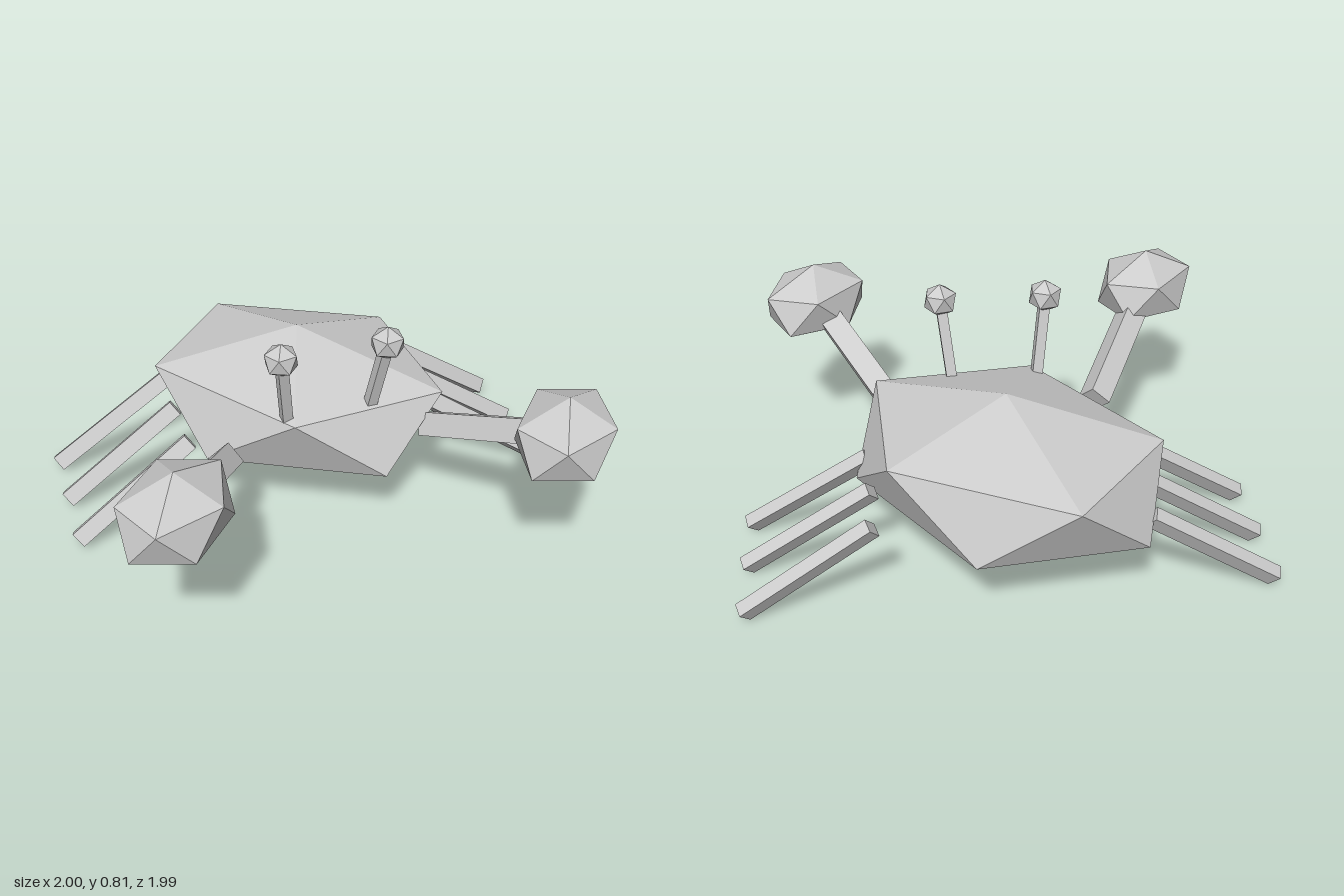
import * as THREE from 'three';

const shell = new THREE.MeshStandardMaterial({ color: 0xcccccc, flatShading: true });
shell.name = 'shellGrey';

// Twenty-sided lump with a point straight up, scaled on each axis
function lump(name, [x, y, z], [rx, ry, rz]) {
  const geo = new THREE.IcosahedronGeometry(1, 0);
  geo.rotateZ(-Math.atan(2 / (1 + Math.sqrt(5))));
  geo.scale(rx, ry, rz);
  geo.computeVertexNormals();
  const mesh = new THREE.Mesh(geo, shell);
  mesh.name = name;
  mesh.position.set(x, y, z);
  return mesh;
}

// Square bar between two points; hint sets which way one long side faces
function bar(name, from, to, width, depth, hint) {
  const a = new THREE.Vector3(...from), b = new THREE.Vector3(...to);
  const along = b.clone().sub(a);
  const length = along.length();
  along.normalize();
  const side = new THREE.Vector3(...hint);
  side.addScaledVector(along, -side.dot(along)).normalize();
  const third = new THREE.Vector3().crossVectors(side, along);
  const mesh = new THREE.Mesh(new THREE.BoxGeometry(width, length, depth), shell);
  mesh.name = name;
  mesh.quaternion.setFromRotationMatrix(new THREE.Matrix4().makeBasis(side, along, third));
  mesh.position.copy(a).add(b).multiplyScalar(0.5);
  return mesh;
}

export function createModel() {
  const crab = new THREE.Group();
  crab.name = 'crab';

  // Body
  crab.add(lump('body', [-0.155, 0.37, -0.21], [0.604, 0.25, 0.459]));

  // Arms and claws
  const claws = [
    ['right', [-0.19, 0.365, 0.28], [-0.08, 0.575, 0.8], [-0.7, 0.7, 0]],
    ['left', [0.35, 0.37, -0.165], [0.845, 0.575, 0], [0, 0.9, -0.42]],
  ];
  for (const [side, shoulder, claw, hint] of claws) {
    crab.add(bar(side + 'Arm', shoulder, claw, 0.08, 0.08, hint));
    crab.add(lump(side + 'Claw', claw, [0.173, 0.136, 0.227]));
  }

  // Eyes on stalks
  const eyes = [
    ['right', [-0.035, 0.46, 0.14], [-0.02, 0.75, 0.21]],
    ['left', [0.18, 0.46, -0.05], [0.248, 0.75, -0.02]],
  ];
  for (const [side, root, eye] of eyes) {
    crab.add(bar(side + 'EyeStalk', root, eye, 0.035, 0.035, [1, 0, 1]));
    crab.add(lump(side + 'Eye', eye, [0.06, 0.058, 0.06]));
  }

  // Legs: hip and foot points, three on each side
  const rightLegs = [
    [[-0.655, 0.315, -0.14], [-0.97, 0.03, 0.155]],
    [[-0.53, 0.315, 0.02], [-0.82, 0.03, 0.325]],
    [[-0.385, 0.315, 0.18], [-0.665, 0.03, 0.5]],
  ];
  const leftLegs = [
    [[0.015, 0.315, -0.68], [0.32, 0.03, -0.97]],
    [[0.14, 0.315, -0.535], [0.475, 0.03, -0.8]],
    [[0.27, 0.315, -0.395], [0.625, 0.03, -0.63]],
  ];
  rightLegs.forEach(([hip, foot], i) =>
    crab.add(bar('rightLeg' + (i + 1), hip, foot, 0.058, 0.045, [-1, 1, 0])));
  leftLegs.forEach(([hip, foot], i) =>
    crab.add(bar('leftLeg' + (i + 1), hip, foot, 0.058, 0.045, [0, 1, -1])));

  return crab;
}
